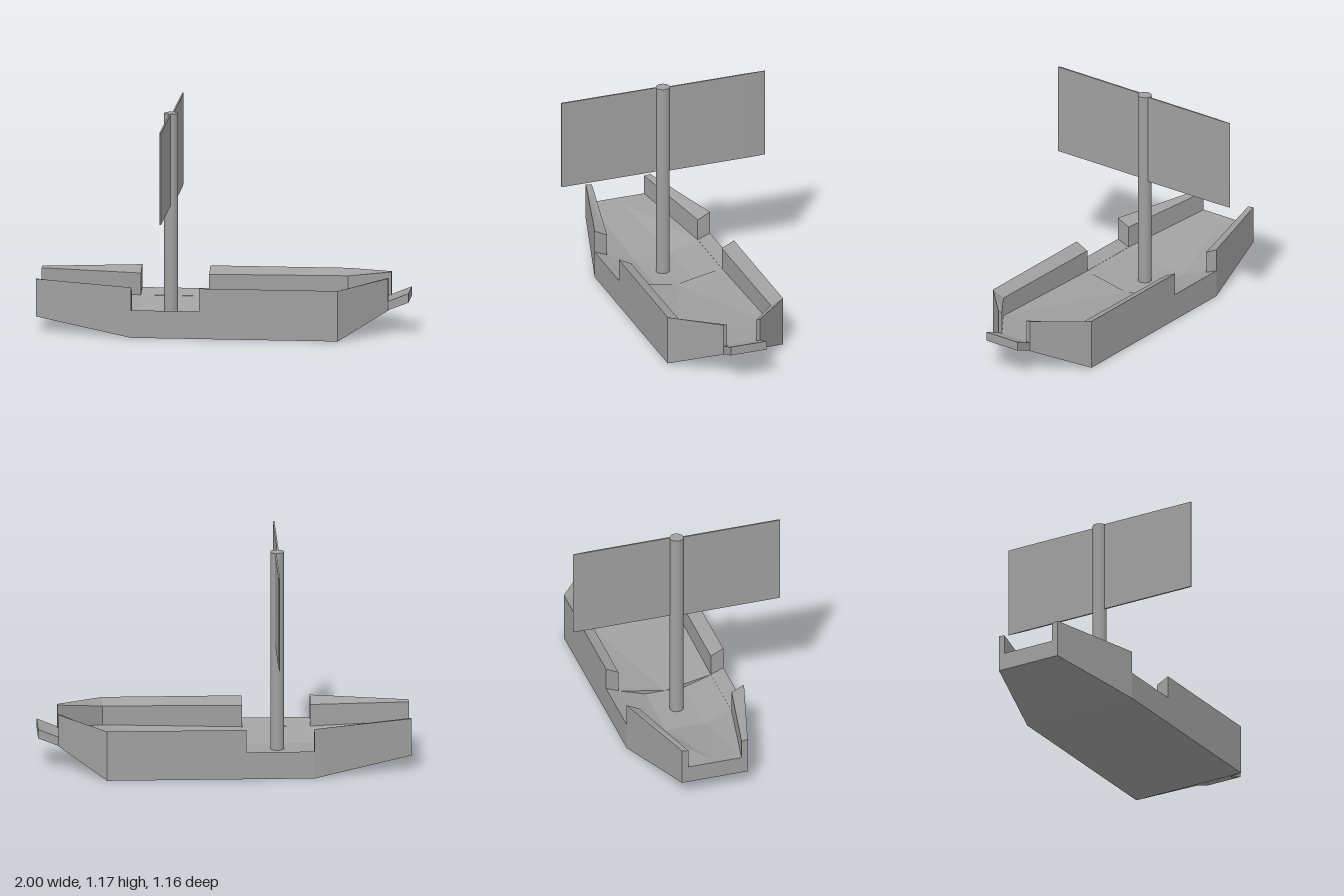
import * as THREE from 'three';

const grey = new THREE.MeshStandardMaterial({ color: 0xa0a0a0 });
grey.name = 'grey';

function addMesh(parent, name, geometry) {
  const mesh = new THREE.Mesh(geometry, grey);
  mesh.name = name;
  parent.add(mesh);
  return mesh;
}

// Half section as [z, y] points, mirrored into a closed loop
function mirrored(half) {
  return [...half, ...half.map(([z, y]) => [-z, y]).reverse()];
}

// Skin a row of closed cross-sections and cap both ends, with flat faces
function loft(stations) {
  const pos = [];
  const loops = stations.map(({ x, half }) => mirrored(half).map(([z, y]) => [x, y, z]));
  const tri = (a, b, c) => pos.push(...a, ...b, ...c);
  for (let s = 0; s + 1 < loops.length; s++) {
    const A = loops[s], B = loops[s + 1], n = A.length;
    for (let i = 0; i < n; i++) {
      const j = (i + 1) % n;
      tri(A[i], B[i], B[j]);
      tri(A[i], B[j], A[j]);
    }
  }
  const cap = (loop, flip) => {
    const outline = loop.map((p) => new THREE.Vector2(p[2], p[1]));
    for (const [a, b, c] of THREE.ShapeUtils.triangulateShape(outline, [])) {
      if (flip) tri(loop[a], loop[c], loop[b]);
      else tri(loop[a], loop[b], loop[c]);
    }
  };
  cap(loops[0], false);
  cap(loops[loops.length - 1], true);
  const g = new THREE.BufferGeometry();
  g.setAttribute('position', new THREE.Float32BufferAttribute(pos, 3));
  g.computeVertexNormals();
  return g;
}

// Hull station: keel height, outer rail, inner rail, deck edge, deck middle
function station(x, keel, outerZ, railOut, innerZ, railIn, deckEdge, midZ, deckMid) {
  return {
    x,
    half: [[outerZ, keel], [outerZ, railOut], [innerZ, railIn], [innerZ, deckEdge], [midZ, deckMid]],
  };
}

export function createModel() {
  const model = new THREE.Group();
  model.name = 'sailingBoat';

  // Hull with side rails, open stern and a gap amidships
  const hull = addMesh(model, 'hull', loft([
    station(-1.0, 0.08, 0.185, 0.285, 0.15, 0.28, 0.175, 0.145, 0.175),
    station(-0.95, 0.072, 0.198, 0.284, 0.16, 0.277, 0.17, 0.002, 0.165),
    station(-0.475, 0, 0.33, 0.275, 0.26, 0.24, 0.12, 0.11, 0.07),
    station(-0.475, 0, 0.33, 0.15, 0.26, 0.121, 0.12, 0.11, 0.07),
    station(-0.108, 0, 0.33, 0.15, 0.26, 0.121, 0.12, 0.11, 0.07),
    station(-0.108, 0, 0.33, 0.275, 0.26, 0.24, 0.12, 0.002, 0.07),
    station(0.64, 0, 0.33, 0.275, 0.26, 0.245, 0.14, 0.258, 0.14),
    station(0.89, 0.13, 0.105, 0.305, 0.083, 0.305, 0.18, 0.081, 0.18),
  ]));
  hull.position.z = -0.01;

  // Short plate rising from the bow
  const prow = addMesh(model, 'prowPlate', loft([
    { x: 0.885, half: [[0.104, 0.13], [0.104, 0.178]] },
    { x: 1.0, half: [[0.104, 0.175], [0.104, 0.225]] },
  ]));
  prow.position.z = -0.01;

  // Mast
  const bottom = 0.06, top = 1.17;
  addMesh(model, 'mast', new THREE.CylinderGeometry(0.037, 0.037, top - bottom, 20))
    .position.set(-0.288, (top + bottom) / 2, 0);

  // Two thin sail halves, the rear one thinning toward its tip
  for (const side of [1, -1]) {
    const g = new THREE.BoxGeometry(0.009, 0.5, 0.58, 1, 1, 6);
    const p = g.attributes.position;
    for (let i = 0; i < p.count; i++) {
      if (side < 0 && p.getZ(i) < -0.28) p.setX(i, p.getX(i) * 0.3);
    }
    g.computeVertexNormals();
    addMesh(model, side > 0 ? 'leftSailHalf' : 'rightSailHalf', g)
      .position.set(side > 0 ? -0.292 : -0.278, 0.92, side * 0.29);
  }

  return model;
}
